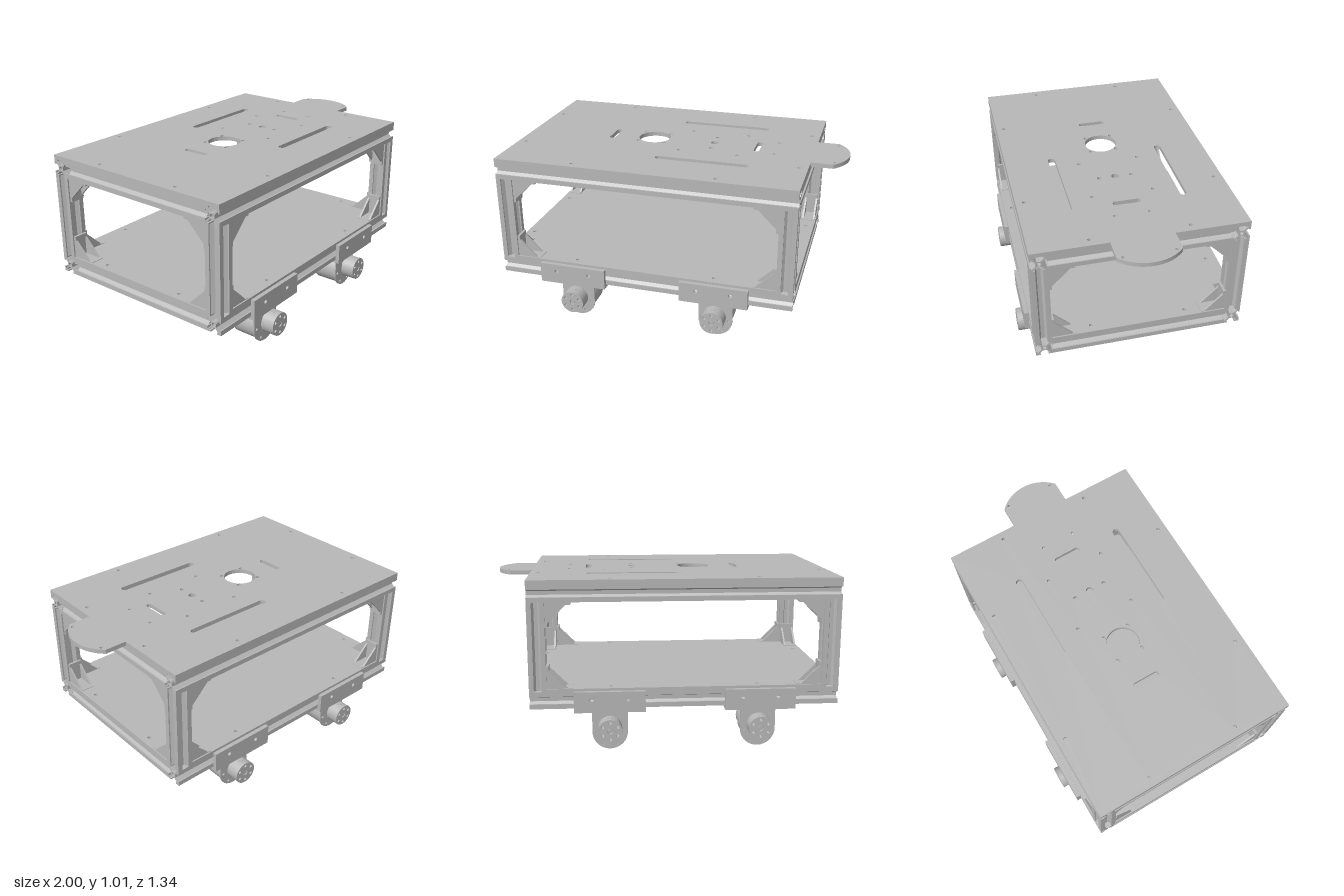
import * as THREE from 'three';

const grey = new THREE.MeshStandardMaterial({ color: 0xb8b8b8 });
grey.name = 'aluminium grey';

// Frame centre lines
const XL = -0.95, XR = 0.74, ZS = 0.565, YB = 0.32, YT = 0.937, H = 0.05;

function add(parent, name, geo, x = 0, y = 0, z = 0) {
  const m = new THREE.Mesh(geo, grey);
  m.name = name;
  m.position.set(x, y, z);
  parent.add(m);
  return m;
}
const box = (w, h, d) => new THREE.BoxGeometry(w, h, d);
const extrude = (shape, depth) =>
  new THREE.ExtrudeGeometry(shape, { depth, bevelEnabled: false, curveSegments: 16 });
const poly = pts => new THREE.Shape(pts.map(p => new THREE.Vector2(p[0], p[1])));
const rodZ = (r, len) => new THREE.CylinderGeometry(r, r, len, 40).rotateX(Math.PI / 2);

function hole(shape, x, y, r) {
  shape.holes.push(new THREE.Path().absarc(x, y, r, 0, Math.PI * 2, true));
}
// Rounded slot between two points lying on one axis
function slot(shape, x0, y0, x1, y1, r) {
  const a = Math.atan2(y1 - y0, x1 - x0), p = new THREE.Path();
  p.absarc(x1, y1, r, a + Math.PI / 2, a - Math.PI / 2, true);
  p.absarc(x0, y0, r, a - Math.PI / 2, a - Math.PI * 1.5, true);
  p.closePath();
  shape.holes.push(p);
}

// Slotted square rail section: one side repeated four times
function railShape() {
  const side = [[0.05, -0.022], [0.042, -0.022], [0.042, -0.034], [0.018, -0.011], [0.018, 0.011],
    [0.042, 0.034], [0.042, 0.022], [0.05, 0.022], [0.05, 0.05]];
  const pts = [];
  for (let k = 0; k < 4; k++) {
    const c = Math.round(Math.cos(k * Math.PI / 2)), s = Math.round(Math.sin(k * Math.PI / 2));
    for (const [x, y] of side) pts.push([x * c - y * s, x * s + y * c]);
  }
  const sh = poly(pts);
  hole(sh, 0, 0, 0.012);
  return sh;
}
function rail(parent, name, axis, len, x, y, z) {
  const g = extrude(railShape(), len).translate(0, 0, -len / 2);
  if (axis === 'x') g.rotateY(Math.PI / 2);
  if (axis === 'y') g.rotateX(Math.PI / 2);
  add(parent, name, g, x, y, z);
}

// Hollow corner brace with legs along directions u and v
function brace(parent, pos, u, v) {
  const g = new THREE.Group(), L = 0.145, t = 0.015;
  g.name = 'cornerBrace';
  const cheek = poly([[0, 0], [L, 0], [L, t], [0.12, t], [t, 0.12], [t, L], [0, L]]);
  for (const z of [-0.042, 0.03]) add(g, 'braceCheek', extrude(cheek, 0.012), 0, 0, z);
  add(g, 'braceLeg', box(L, t, 0.084), L / 2, t / 2, 0);
  add(g, 'braceLeg', box(t, L, 0.084), t / 2, L / 2, 0);
  const U = new THREE.Vector3(...u), V = new THREE.Vector3(...v);
  g.quaternion.setFromRotationMatrix(new THREE.Matrix4().makeBasis(U, V, U.clone().cross(V)));
  g.position.set(...pos);
  parent.add(g);
}

// Deck with rounded tab, shape y runs along z
function topPlate(parent) {
  const r = 0.2425, a = Math.asin(0.18 / r);
  const s = new THREE.Shape();
  s.moveTo(-1, -0.615);
  s.lineTo(0.79, -0.615);
  s.lineTo(0.79, -0.18);
  s.absarc(1 - r, 0, r, -a, a, false);
  s.lineTo(0.79, 0.18);
  s.lineTo(0.79, 0.615);
  s.lineTo(-1, 0.615);
  s.closePath();
  hole(s, -0.207, 0, 0.098);
  hole(s, 0.178, 0, 0.023);
  for (const m of [-1, 1]) {
    slot(s, -0.08, m * 0.335, 0.435, m * 0.335, 0.021);
    for (const x of [-0.287, -0.127]) slot(s, x - 0.005, m * 0.105 - m * 0.025, x + 0.005, m * 0.08, 0.009);
    for (const [x, z, q] of [[0.178, 0.097, 0.013], [0, 0.18, 0.011], [0.357, 0.18, 0.011], [0.565, 0.1, 0.009],
      [-0.53, 0.565, 0.011], [0.32, 0.565, 0.011], [-0.95, 0.282, 0.011], [0.74, 0.282, 0.011], [0.925, 0.145, 0.009]])
      hole(s, x, m * z, q);
  }
  for (const x of [-0.465, 0.45]) slot(s, x, -0.065, x, 0.065, 0.017);
  add(parent, 'topPlate', extrude(s, 0.025).rotateX(Math.PI / 2), 0, 1.012, 0);
}

// Lower shelf notched around the posts
function lowerPlate(parent) {
  const s = poly([[-0.9, -0.615], [0.69, -0.615], [0.69, -0.515], [0.79, -0.515], [0.79, 0.515], [0.69, 0.515],
    [0.69, 0.615], [-0.9, 0.615], [-0.9, 0.515], [-1, 0.515], [-1, -0.515], [-0.9, -0.515]]);
  for (const m of [-1, 1])
    for (const [x, z] of [[-0.53, 0.565], [0.32, 0.565], [-0.95, 0.282], [0.74, 0.282]]) hole(s, x, m * z, 0.011);
  add(parent, 'lowerPlate', extrude(s, 0.017).rotateX(Math.PI / 2), 0, 0.387, 0);
}

// Drive unit on the +z side; rotated half a turn for the other side
function driveUnit(x, side) {
  const g = new THREE.Group();
  g.name = 'driveUnit';
  // Angle plate clamped to the rail
  const face = poly([[-0.205, 0.25], [0.205, 0.25], [0.205, 0.372], [-0.205, 0.372]]);
  for (const m of [-1, 1]) hole(face, m * 0.103, 0.325, 0.012);
  add(g, 'anglePlateFace', extrude(face, 0.025), 0, 0, 0.615);
  add(g, 'anglePlateBase', box(0.41, 0.022, 0.405), 0, 0.26, 0.4375);
  // Hanging motor bracket
  const hang = new THREE.Shape();
  hang.moveTo(0.104, 0.25);
  hang.lineTo(-0.104, 0.25);
  hang.absarc(0, 0.106, 0.104, Math.PI, Math.PI * 2, false);
  hang.closePath();
  for (let i = 0; i < 6; i++) {
    const a = i * Math.PI / 3;
    hole(hang, 0.082 * Math.cos(a), 0.106 + 0.082 * Math.sin(a), 0.009);
  }
  add(g, 'motorBracketFace', extrude(hang, 0.008), 0, 0.002, 0.555);
  add(g, 'motorBracketTop', box(0.208, 0.008, 0.215), 0, 0.246, 0.4525);
  // Gear motor
  add(g, 'gearbox', rodZ(0.094, 0.15), 0, 0.108, 0.48);
  add(g, 'motorCan', rodZ(0.084, 0.116), 0, 0.106, 0.348);
  add(g, 'motorRearBoss', rodZ(0.02, 0.016), 0, 0.106, 0.282);
  for (const m of [-1, 1]) {
    add(g, 'motorTerminal', box(0.02, 0.005, 0.02), 0, 0.106 + m * 0.067, 0.282);
    const tip = add(g, 'motorTerminal', box(0.02, 0.005, 0.02), 0, 0.106 + m * 0.059, 0.268);
    tip.rotation.x = -m * 0.9;
  }
  add(g, 'outputCollar', rodZ(0.03, 0.03), 0, 0.143, 0.574);
  // Wheel hub with screw holes
  const hub = new THREE.Shape().absarc(0, 0, 0.07, 0, Math.PI * 2, false);
  hole(hub, 0, 0, 0.016);
  for (let i = 0; i < 6; i++) {
    const a = (i + 0.5) * Math.PI / 3;
    hole(hub, 0.05 * Math.cos(a), 0.05 * Math.sin(a), 0.009);
  }
  add(g, 'wheelHub', extrude(hub, 0.082), 0, 0.143, 0.586);
  add(g, 'outputShaft', rodZ(0.012, 0.08), 0, 0.143, 0.625);
  const screw = new THREE.CylinderGeometry(0.014, 0.014, 0.006, 20);
  add(g, 'hubSetScrew', screw, 0, 0.211, 0.625);
  g.position.x = x;
  if (side < 0) g.rotation.y = Math.PI;
  return g;
}

export function createModel() {
  const model = new THREE.Group();
  model.name = 'roverChassis';
  const frame = new THREE.Group();
  frame.name = 'frame';
  model.add(frame);

  const mid = (XL + XR) / 2, lenX = XR - XL + 2 * H, lenZ = 2 * (ZS - H);
  for (const y of [YB, YT]) {
    for (const m of [-1, 1]) rail(frame, 'sideRail', 'x', lenX, mid, y, m * ZS);
    for (const x of [XL, XR]) rail(frame, 'endRail', 'z', lenZ, x, y, 0);
  }
  // Posts and corner braces
  const y0 = YB + H, y1 = YT - H;
  for (const [x, dx] of [[XL, 1], [XR, -1]]) for (const m of [-1, 1]) {
    rail(frame, 'cornerPost', 'y', y1 - y0, x, (y0 + y1) / 2, m * ZS);
    for (const [y, dy] of [[y0 + 0.005, 1], [y1, -1]]) {
      brace(frame, [x + dx * H, y, m * ZS], [dx, 0, 0], [0, dy, 0]);
      brace(frame, [x, y, m * (ZS - H)], [0, 0, -m], [0, dy, 0]);
    }
    brace(frame, [x + dx * H, YB, m * (ZS - H)], [dx, 0, 0], [0, 0, -m]);
  }

  topPlate(model);
  lowerPlate(model);

  // Motor stations with a cross rail each
  for (const x of [-0.54, 0.332]) {
    rail(frame, 'crossRail', 'z', lenZ, x, YB, 0);
    for (const m of [-1, 1]) model.add(driveUnit(x, m));
  }
  return model;
}
